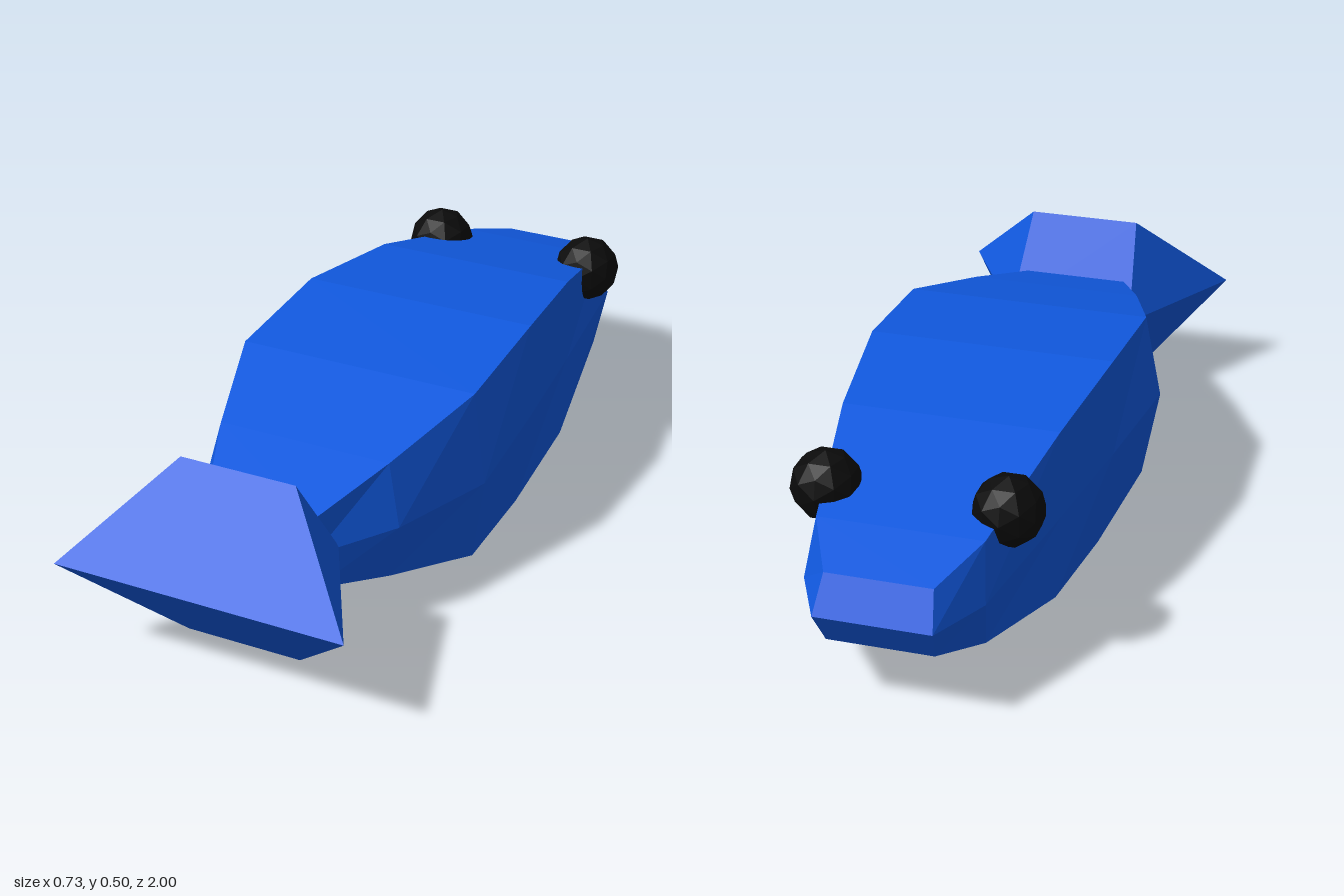
import * as THREE from 'three';

const MID = 0.25; // height of the body's centre line

// Skin a series of equal-length point rings and close both ends.
function loft(rings, capFaces) {
  const pos = [];
  const face = (...pts) => {
    for (let i = 1; i < pts.length - 1; i++) pos.push(...pts[0], ...pts[i], ...pts[i + 1]);
  };
  for (let i = 0; i < rings.length - 1; i++) {
    const a = rings[i], b = rings[i + 1], n = a.length;
    for (let j = 0; j < n; j++) {
      const k = (j + 1) % n;
      face(a[j], b[j], b[k], a[k]);
    }
  }
  const last = rings[rings.length - 1];
  for (const f of capFaces) {
    face(...f.map((i) => rings[0][i]));
    face(...f.map((i) => last[i]).reverse());
  }
  const geo = new THREE.BufferGeometry();
  geo.setAttribute('position', new THREE.Float32BufferAttribute(pos, 3));
  geo.computeVertexNormals();
  return geo;
}

export function createModel() {
  const group = new THREE.Group();
  const blue = new THREE.MeshStandardMaterial({ color: 0x1159e0, flatShading: true });
  const black = new THREE.MeshStandardMaterial({ color: 0x0a0a0a, flatShading: true });

  const add = (name, geo, mat) => {
    const mesh = new THREE.Mesh(geo, mat);
    mesh.name = name;
    group.add(mesh);
    return mesh;
  };

  // Body: six-sided sections from nose to tail
  // [z of top and bottom, half height, top half width, bottom half width, z of side ridge, ridge half width]
  const sections = [
    [-0.95, 0.085, 0.125, 0.125, -1.0, 0.137],
    [-0.8, 0.13, 0.195, 0.195, -0.85, 0.21],
    [-0.43, 0.22, 0.262, 0.255, -0.43, 0.267],
    [-0.1, 0.25, 0.303, 0.275, -0.1, 0.308],
    [0.23, 0.22, 0.307, 0.307, 0.25, 0.345],
    [0.5, 0.15, 0.22, 0.22, 0.52, 0.255],
    [0.71, 0.09, 0.135, 0.135, 0.71, 0.137],
  ];
  const bodyRings = sections.map(([z, h, top, bottom, zr, ridge]) => [
    [top, MID + h, z], [ridge, MID, zr], [bottom, MID - h, z],
    [-bottom, MID - h, z], [-ridge, MID, zr], [-top, MID + h, z],
  ]);
  add('body', loft(bodyRings, [[0, 1, 4, 5], [1, 2, 3, 4]]), blue);

  // Tail: diamond profile flaring towards its rear edge
  const tailRings = [-1, 1].map((s) => [
    [s * 0.145, 0.478, 0.8], [s * 0.167, MID, 0.65],
    [s * 0.145, 0.024, 0.8], [s * 0.364, MID, 1.0],
  ]);
  add('tail', loft(tailRings, [[0, 1, 3], [1, 2, 3]]), blue);

  // Eyes
  for (const s of [-1, 1]) {
    const eye = add(s > 0 ? 'leftEye' : 'rightEye', new THREE.IcosahedronGeometry(0.085, 1), black);
    eye.position.set(s * 0.213, 0.396, -0.68);
  }
  return group;
}
